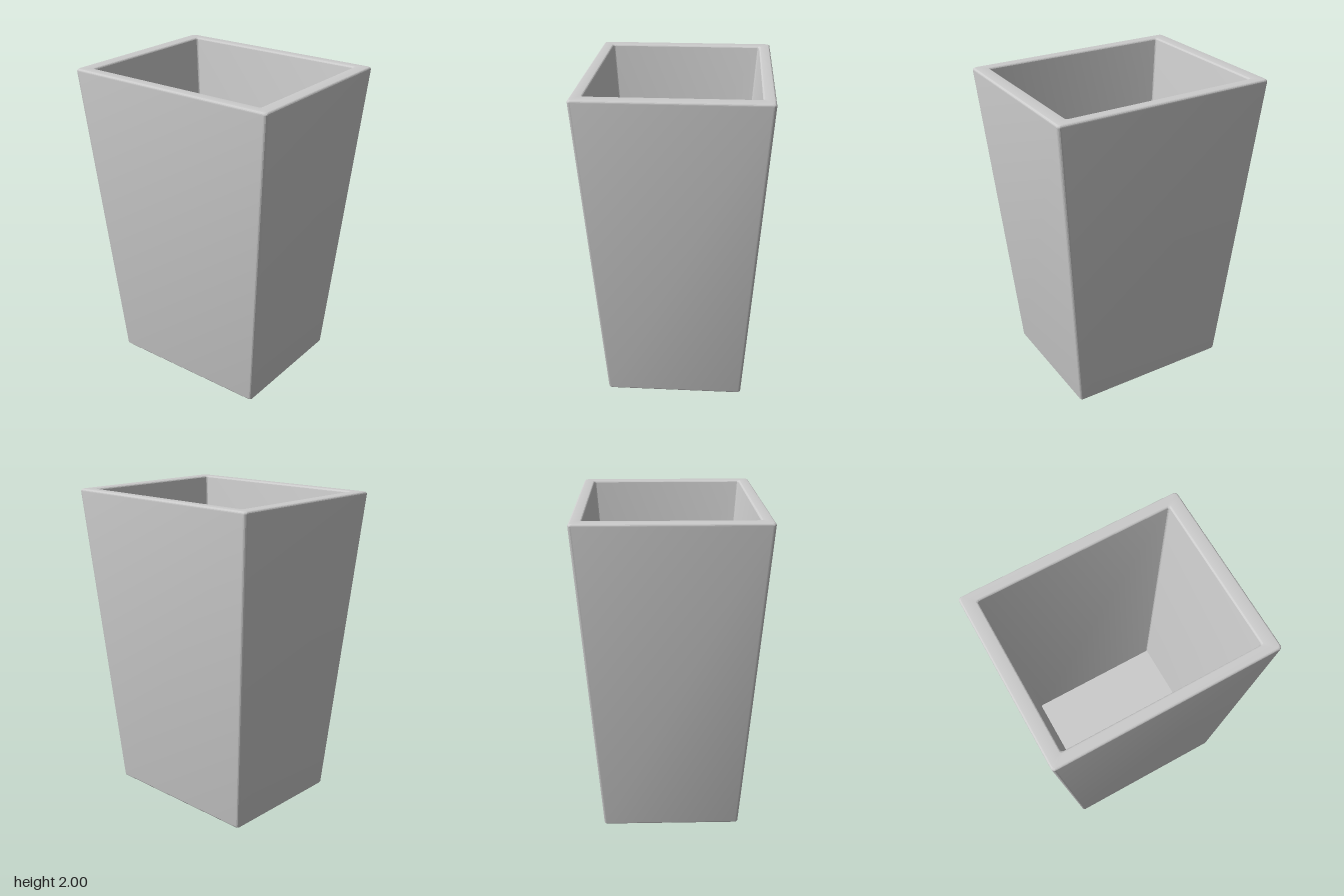
import * as THREE from 'three';
import { toCreasedNormals } from 'three/addons/utils/BufferGeometryUtils.js';

const SEG = 4; // steps per rounded corner

// Rounded rectangle at height y, half sizes hx and hz, corner radius r
function ring([hx, hz, y, r]) {
  const points = [];
  const signs = [[1, 1], [-1, 1], [-1, -1], [1, -1]];
  signs.forEach(([sx, sz], corner) => {
    for (let k = 0; k <= SEG; k++) {
      const a = (corner + k / SEG) * Math.PI / 2;
      points.push([sx * (hx - r) + r * Math.cos(a), y, sz * (hz - r) + r * Math.sin(a)]);
    }
  });
  return points;
}

// Skin a sequence of rings; a ring of zero size closes the skin at a point
function loft(sections) {
  const rings = sections.map(ring);
  const pos = [];
  for (let i = 0; i < rings.length - 1; i++) {
    const p = rings[i], q = rings[i + 1], n = p.length;
    for (let j = 0; j < n; j++) {
      const k = (j + 1) % n;
      if (sections[i][0] > 0) pos.push(...p[j], ...q[j], ...p[k]);
      if (sections[i + 1][0] > 0) pos.push(...q[j], ...q[k], ...p[k]);
    }
  }
  const geometry = new THREE.BufferGeometry();
  geometry.setAttribute('position', new THREE.Float32BufferAttribute(pos, 3));
  return toCreasedNormals(geometry, 0.3);
}

// Quarter-round edge: insets run along a circle of radius r
function roundedEdge(hx, hz, y, r, from, to, corner) {
  return Array.from({ length: SEG + 1 }, (_, k) => {
    const a = from + (to - from) * k / SEG;
    return [hx + r * Math.cos(a), hz + r * Math.cos(a), y + r * Math.sin(a), corner];
  });
}

export function createModel() {
  const group = new THREE.Group();
  const material = new THREE.MeshStandardMaterial({ color: 0xcccccc });
  const H = Math.PI / 2;
  const R = 0.015;

  const sections = [
    // recessed underside
    [0, 0, 0.25, 0],
    [0.455, 0.365, 0.25, 0.01],
    [0.52, 0.412, 0.006, 0.012],
    // foot edge
    ...roundedEdge(0.54 - R, 0.43 - R, R, R, -H, 0, 0.018),
    // outer wall and top rim
    ...roundedEdge(0.705 - R, 0.567 - R, 2 - R, R, 0, H, 0.02),
    ...roundedEdge(0.615 + R, 0.493 + R, 2 - R, R, H, 2 * H, 0.015),
    // inner wall down to the floor
    [0.455, 0.365, 0.28, 0.01],
    [0, 0, 0.28, 0],
  ];

  const planter = new THREE.Mesh(loft(sections), material);
  planter.name = 'planterBody';
  group.add(planter);
  return group;
}
